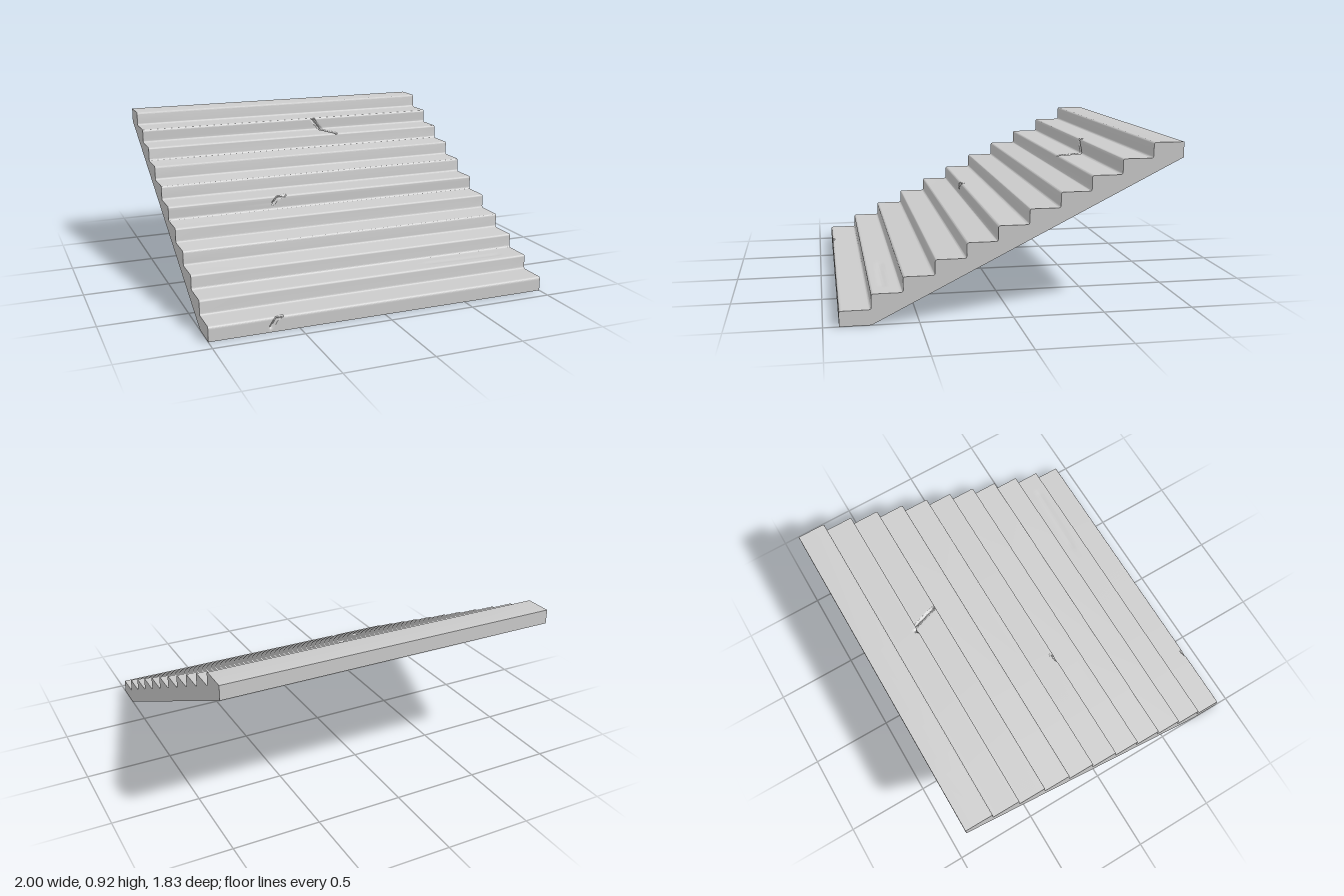
import * as THREE from 'three';
import { toCreasedNormals } from 'three/addons/utils/BufferGeometryUtils.js';

const STEPS = 11, RUN = 1 / 6, RISE = 1 / 12, HALF = STEPS * RUN / 2, R = 0.012, ARC = 4;
const V = (x, y, z) => new THREE.Vector3(x, y, z);

// Damage: polylines on the surface with a half width and a depth
const riserZ = k => HALF - k * RUN, treadY = k => (k + 1) * RISE;
const cracks = [
  { w: 0.012, depth: 0.014, path: [V(-0.66, 0.03, HALF), V(-0.63, 0.073, HALF), V(-0.60, 0.084, HALF - 0.008)] },
  { w: 0.013, depth: 0.016, path: [V(-0.36, 0.458, riserZ(5)), V(-0.33, 0.49, riserZ(5)), V(-0.285, treadY(5), riserZ(5) - 0.01)] },
  { w: 0.013, depth: 0.014, path: [V(0.155, treadY(9), riserZ(9) - 0.015), V(0.15, 0.825, riserZ(9)), V(0.21, treadY(8), riserZ(9)), V(0.26, treadY(8), -0.43)] },
  { w: 0.03, depth: 0.004, path: [V(0.40, treadY(1), 0.665), V(0.60, treadY(1), 0.675), V(0.85, treadY(1), 0.68)] },
];

function dentAt(p) {
  let dent = 0;
  const near = new THREE.Vector3();
  for (const { w, depth, path } of cracks) {
    for (let i = 0; i + 1 < path.length; i++) {
      new THREE.Line3(path[i], path[i + 1]).closestPointToPoint(p, true, near);
      dent = Math.max(dent, depth * (1 - near.distanceTo(p) / w));
    }
  }
  return dent;
}

// Closed side profile; each point keeps its outward normal (nz, ny)
function stairProfile() {
  const pts = [];
  const add = (z, y, nz, ny) => pts.push({ z, y, nz, ny });
  const line = (z0, y0, z1, y1, n, nz, ny) => {
    for (let i = 1; i < n; i++) add(z0 + (z1 - z0) * i / n, y0 + (y1 - y0) * i / n, nz, ny);
  };
  const fineRisers = [0, 5, 9], fineTreads = [0, 1, 5, 8, 9];
  for (let k = 0; k < STEPS; k++) {
    const z = riserZ(k), y = treadY(k), last = k === STEPS - 1;
    const y0 = y - RISE + (k ? R : 0), zEnd = z - RUN + (last ? 0 : R);
    if (k === 0) add(z, 0, 1, 0);
    line(z, y0, z, y - R, fineRisers.includes(k) ? 10 : 1, 1, 0);
    // rounded nose
    for (let i = 0; i <= ARC; i++) {
      const a = i / ARC * Math.PI / 2, c = Math.cos(a), s = Math.sin(a);
      add(z - R + R * c, y - R + R * s, c, s);
    }
    line(z - R, y, zEnd, y, fineTreads.includes(k) ? 22 : 1, 0, 1);
    if (last) { add(zEnd, y, 0, 1); continue; }
    // hollow fillet into the next riser
    for (let i = 0; i <= ARC; i++) {
      const a = i / ARC * Math.PI / 2, c = Math.cos(a), s = Math.sin(a);
      add(zEnd - R * s, y + R - R * c, s, c);
    }
  }
  // back edge and sloping underside
  add(-HALF, (STEPS - 1) * RISE, 0, 0);
  add(HALF - RUN, 0, 0, 0);
  return pts;
}

// Stations across the width, dense only where the damage is
function stations() {
  const xs = [-1];
  const span = (a, b, n) => { for (let i = 0; i <= n; i++) xs.push(a + (b - a) * i / n); };
  span(-0.68, -0.58, 22);
  span(-0.38, -0.265, 24);
  span(0.13, 0.28, 34);
  span(0.36, 0.9, 24);
  xs.push(1);
  return xs;
}

function stairGeometry() {
  const profile = stairProfile(), xs = stations(), n = profile.length;
  const pos = [], idx = [], p = new THREE.Vector3();
  for (const x of xs) {
    for (const { z, y, nz, ny } of profile) {
      const d = dentAt(p.set(x, y, z));
      pos.push(x, y - ny * d, z - nz * d);
    }
  }
  for (let i = 0; i + 1 < xs.length; i++) {
    for (let j = 0; j < n; j++) {
      const k = (j + 1) % n, a = i * n + j, d = i * n + k;
      idx.push(a, a + n, d + n, a, d + n, d);
    }
  }
  // flat side faces
  const outline = profile.map(q => new THREE.Vector2(q.z, q.y));
  const end = (xs.length - 1) * n;
  for (const [a, b, c] of THREE.ShapeUtils.triangulateShape(outline, [])) {
    idx.push(a, b, c, end + a, end + c, end + b);
  }
  const g = new THREE.BufferGeometry();
  g.setAttribute('position', new THREE.Float32BufferAttribute(pos, 3));
  g.setIndex(idx);
  return toCreasedNormals(g, Math.PI / 6);
}

export function createModel() {
  const group = new THREE.Group();
  group.name = 'staircase';
  const flight = new THREE.Mesh(stairGeometry(), new THREE.MeshStandardMaterial({ color: 0xcccccc }));
  flight.name = 'crackedStairFlight';
  group.add(flight);
  return group;
}
